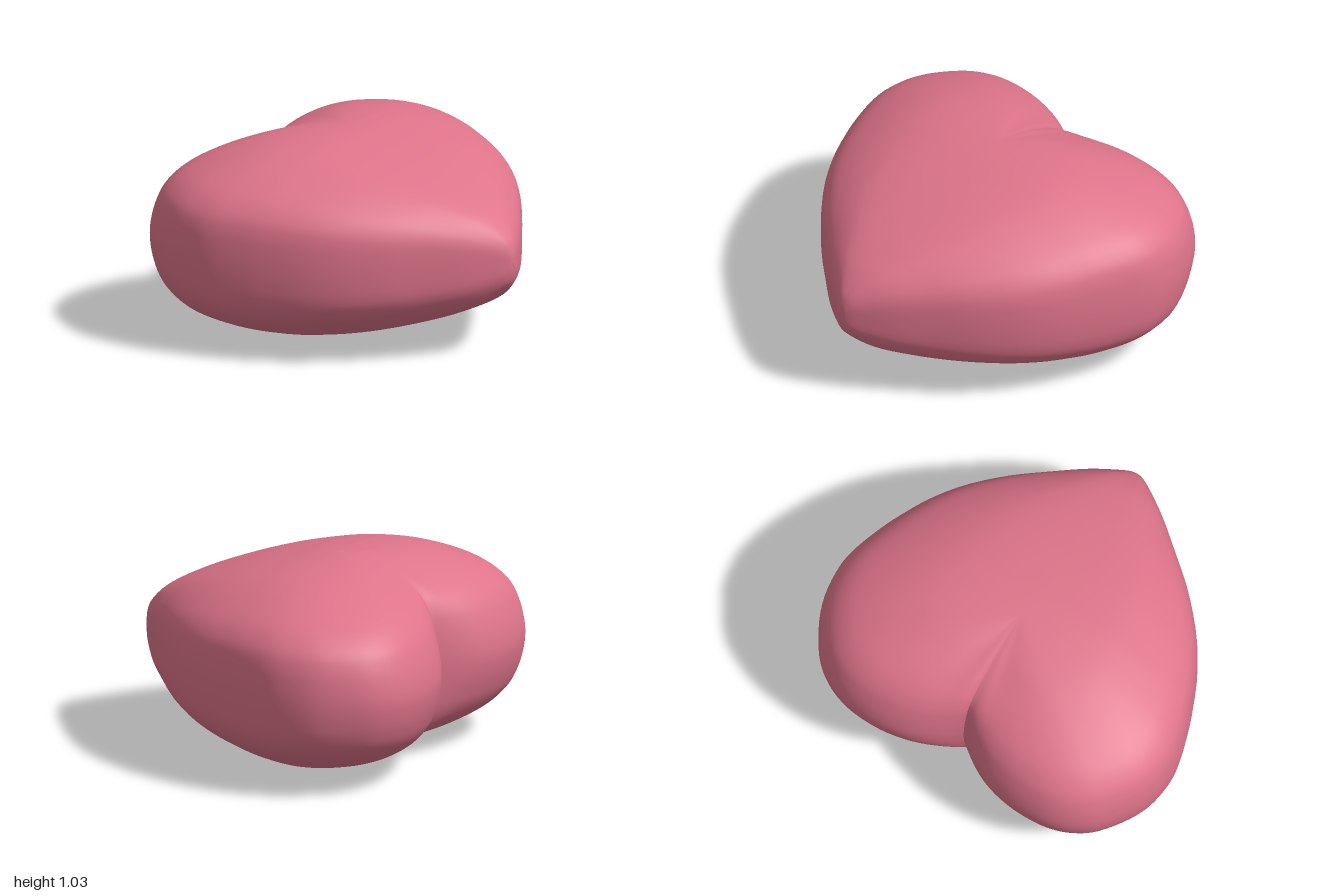
import * as THREE from 'three';

const HALF_HEIGHT = 0.513, CENTRE_Z = -0.17, FRONT = 40, BACK = 44, ROWS = 72;
const COLUMNS = FRONT + BACK;
const curve = (points) =>
  new THREE.CatmullRomCurve3(points.map((p) => new THREE.Vector3(...p)), false, 'catmullrom', 0.5);

// Front half outline as [x, relative height, z], from the tip to the widest section
const frontOutline = curve([
  [0, 0, 0.915], [0.03, 0.13, 0.906], [0.09, 0.26, 0.873], [0.235, 0.44, 0.775], [0.396, 0.58, 0.645],
  [0.556, 0.69, 0.51], [0.71, 0.8, 0.345], [0.82, 0.89, 0.18], [0.9, 0.96, 0.01],
  [0.935, 0.987, -0.08], [0.965, 1, CENTRE_Z],
]);

// Back half outline as [x, 0, z], from the widest section round the lobe to the cleft
const backOutline = curve([
  [0.965, 0, CENTRE_Z], [0.99, 0, -0.265], [0.999, 0, -0.365], [0.983, 0, -0.505], [0.93, 0, -0.635],
  [0.835, 0, -0.775], [0.73, 0, -0.856], [0.62, 0, -0.899], [0.5, 0, -0.915], [0.37, 0, -0.911],
  [0.235, 0, -0.88], [0.12, 0, -0.822], [0, 0, -0.73],
]);

// Puffy cross-sections: how far out the skin lies at each relative height
const heights = [0, 0.18, 0.35, 0.5, 0.65, 0.78, 0.88, 0.95, 0.99, 1];
function profile(spread) {
  const upper = spread.map((s, i) => new THREE.Vector2(s, heights[i]));
  const lower = upper.slice(1).reverse().map((p) => new THREE.Vector2(p.x, -p.y));
  return new THREE.SplineCurve([...lower, ...upper]);
}
const sideProfile = profile([1, 0.996, 0.983, 0.95, 0.87, 0.74, 0.6, 0.45, 0.24, 0]);
const backProfile = profile([1, 0.98, 0.935, 0.875, 0.77, 0.61, 0.43, 0.27, 0.11, 0]);

// Skin point of the front: upright sections that shrink towards the tip
function frontPoint(u, v) {
  const p = frontOutline.getPoint(u), section = sideProfile.getPoint(v);
  return [p.x * section.x, p.y * section.y, p.z];
}

// Skin point of the back: the outline shrinks towards the centre as it rises
function backPoint(u, v) {
  const p = backOutline.getPoint(u), section = sideProfile.getPoint(v);
  const dz = p.z - CENTRE_Z, angle = Math.atan2(p.x, dz);
  let s = THREE.MathUtils.lerp(section.x, backProfile.getPoint(v).x, Math.cos(angle) ** 2);
  // the cleft fills in towards the middle of the top and bottom
  s *= 1 + 0.3 * (1 - s * s) * Math.exp(-(((Math.PI - angle) / 0.2) ** 2));
  return [p.x * s, section.y, CENTRE_Z + dz * s];
}

// One half of the heart; side is +1 for left and -1 for right
function heartHalf(side) {
  const positions = [], indices = [];
  for (let j = 0; j <= ROWS; j++) {
    for (let i = 0; i <= COLUMNS; i++) {
      const v = j / ROWS;
      // columns gather towards the rounded tip
      const [x, h, z] = i < FRONT ? frontPoint((i / FRONT) ** 1.5, v) : backPoint((i - FRONT) / BACK, v);
      positions.push(x * side, HALF_HEIGHT * (1 + h), z);
      if (i < COLUMNS && j < ROWS) {
        const a = j * (COLUMNS + 1) + i, b = a + 1, c = a + COLUMNS + 1, d = c + 1;
        if (side > 0) indices.push(a, b, c, b, d, c);
        else indices.push(a, c, b, b, c, d);
      }
    }
  }
  const geometry = new THREE.BufferGeometry();
  geometry.setAttribute('position', new THREE.Float32BufferAttribute(positions, 3));
  geometry.setIndex(indices);
  geometry.computeVertexNormals();

  // Smooth the seam over the top and bottom, leaving a crease in the cleft
  const normals = geometry.attributes.normal, n = new THREE.Vector3();
  const softenSeam = (k, crease) => {
    n.fromBufferAttribute(normals, k);
    n.x *= crease;
    n.normalize();
    normals.setXYZ(k, n.x, n.y, n.z);
  };
  for (let j = 1; j < ROWS; j++) {
    const k = j * (COLUMNS + 1) + COLUMNS;
    softenSeam(k, 1 - (positions[k * 3 + 1] / HALF_HEIGHT - 1) ** 2);
  }
  for (let i = 1; i <= COLUMNS; i++) {
    const top = ROWS * (COLUMNS + 1) + i;
    if (i < FRONT) {
      softenSeam(i, 0);
      softenSeam(top, 0);
    } else {
      normals.setXYZ(i, 0, -1, 0);
      normals.setXYZ(top, 0, 1, 0);
    }
  }
  return geometry;
}

export function createModel() {
  const heart = new THREE.Group();
  heart.name = 'heart';
  const pink = new THREE.MeshStandardMaterial({ color: 0xde748a });
  pink.name = 'rosePink';
  for (const [name, side] of [['leftHalf', 1], ['rightHalf', -1]]) {
    const half = new THREE.Mesh(heartHalf(side), pink);
    half.name = name;
    heart.add(half);
  }
  return heart;
}
